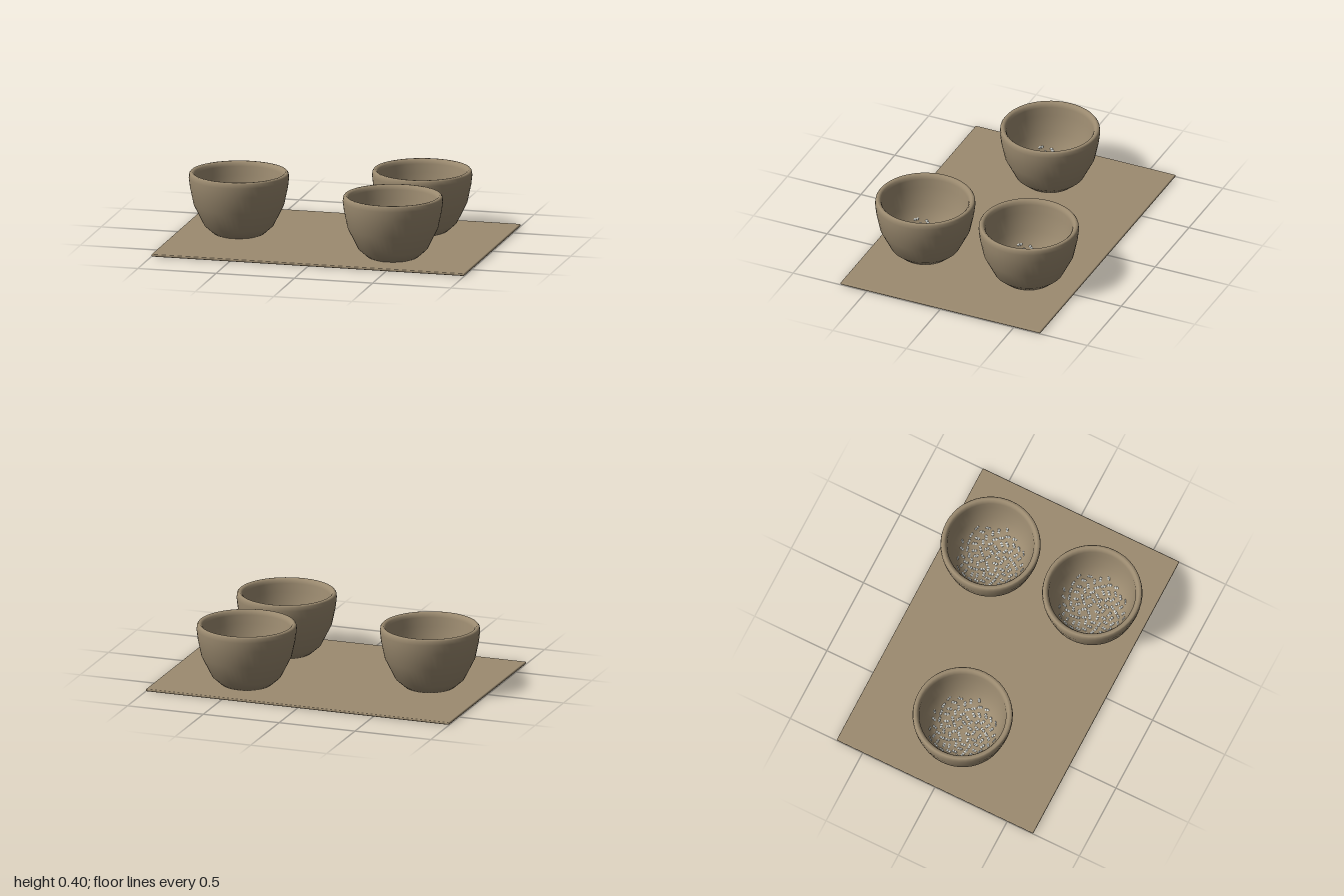
import * as THREE from 'three';
import { mergeGeometries } from 'three/addons/utils/BufferGeometryUtils.js';
import { RoundedBoxGeometry } from 'three/addons/geometries/RoundedBoxGeometry.js';

// Inner bowl surface, radius then height, from the floor up
const INNER = [[0, 0.05], [0.1, 0.052], [0.16, 0.075], [0.2, 0.11], [0.24, 0.2], [0.264, 0.32], [0.268, 0.375]];
const OUTER = [[0.276, 0.394], [0.286, 0.404], [0.3, 0.404], [0.307, 0.395], [0.31, 0.37],
  [0.303, 0.31], [0.28, 0.2], [0.215, 0.07], [0.155, 0.016], [0, 0.014]];

// Height and slope angle of the inner surface at radius r
function innerSurface(r) {
  let i = 1;
  while (i < INNER.length - 1 && INNER[i][0] < r) i++;
  const [r0, y0] = INNER[i - 1], [r1, y1] = INNER[i];
  const slope = (y1 - y0) / (r1 - r0);
  return { y: y0 + slope * (r - r0), angle: Math.atan(slope) };
}

function bowlGeometry() {
  // The profile runs up the outside and down the inside so faces point outward
  const points = [...INNER, ...OUTER].reverse().map(([r, y]) => new THREE.Vector2(r, y));
  return new THREE.LatheGeometry(points, 48);
}

// Small lobed grains in a sunflower spiral over the bowl's floor
function grainsGeometry() {
  const count = 92, parts = [];
  for (let i = 1; i <= count; i++) {
    const r = 0.212 * Math.sqrt(i / count);
    const turn = i * 2.39996;
    const { y, angle } = innerSurface(r);
    for (const [dx, dz, size] of [[-0.007, 0, 0.011], [0.007, 0.005, 0.011]]) {
      const lobe = new THREE.IcosahedronGeometry(size, 0);
      lobe.scale(1, 0.4, 0.85);
      lobe.translate(dx, 0, dz);
      lobe.rotateY(i * 1.7);
      lobe.rotateZ(angle);
      lobe.translate(r, y + 0.004, 0);
      lobe.rotateY(turn);
      parts.push(lobe);
    }
  }
  return mergeGeometries(parts);
}

export function createModel() {
  const model = new THREE.Group();
  model.name = 'bowlsOnMat';
  const clay = new THREE.MeshStandardMaterial({ color: 0x9c8b70 });
  clay.name = 'clay';
  const pale = new THREE.MeshStandardMaterial({ color: 0xd2d4cf });
  pale.name = 'paleGrain';

  // Thin mat with softened edges
  const mat = new THREE.Mesh(new RoundedBoxGeometry(2, 0.016, 1.36, 2, 0.007), clay);
  mat.name = 'mat';
  mat.position.y = 0.008;
  model.add(mat);

  // Three matching bowls, each with a layer of grains
  const bowlShape = bowlGeometry();
  const grainShape = grainsGeometry();
  [[-0.62, 0], [0.457, -0.352], [0.457, 0.352]].forEach(([x, z], i) => {
    const group = new THREE.Group();
    group.name = `bowlWithGrains${i + 1}`;
    const bowl = new THREE.Mesh(bowlShape, clay);
    bowl.name = 'bowl';
    const grains = new THREE.Mesh(grainShape, pale);
    grains.name = 'grains';
    group.add(bowl, grains);
    group.position.set(x, 0, z);
    model.add(group);
  });
  return model;
}
